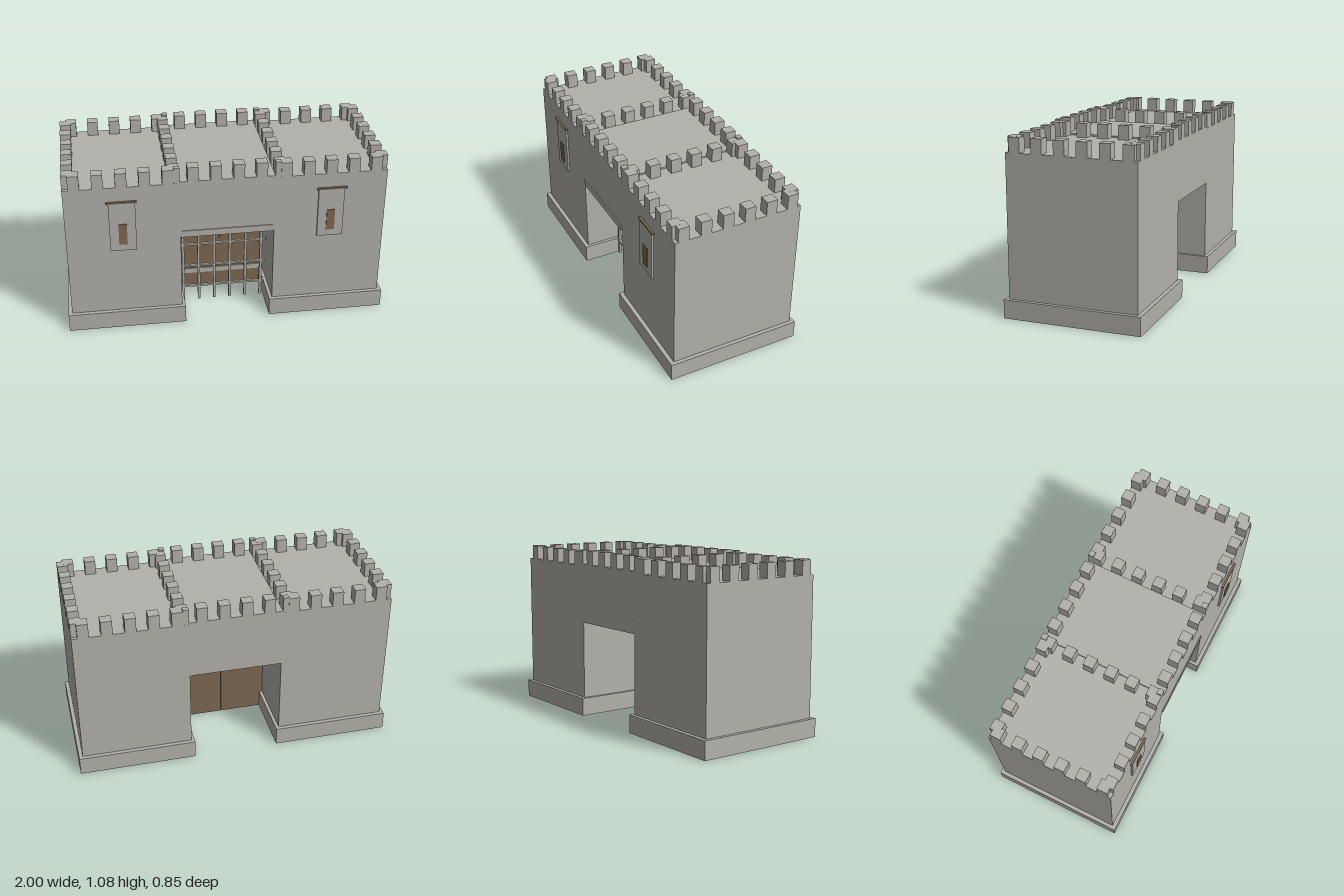
import * as THREE from 'three';

export function createModel() {
  const model = new THREE.Group();
  model.name = 'castleGatehouse';
  const stone = new THREE.MeshStandardMaterial({ color: 0xb3b1ab });
  stone.name = 'stone grey';
  const wood = new THREE.MeshStandardMaterial({ color: 0x7d6850 });
  wood.name = 'wood brown';

  // Box given by its limits on each axis
  function box(name, parent, material, x0, x1, y0, y1, z0, z1) {
    const mesh = new THREE.Mesh(new THREE.BoxGeometry(Math.abs(x1 - x0), y1 - y0, z1 - z0), material);
    mesh.position.set((x0 + x1) / 2, (y0 + y1) / 2, (z0 + z1) / 2);
    mesh.name = name;
    parent.add(mesh);
    return mesh;
  }
  function group(name) {
    const g = new THREE.Group();
    g.name = name;
    model.add(g);
    return g;
  }

  const inner = 0.287, outer = 0.977, depth = 0.4;
  const merlon = 0.067, step = 0.138;

  // Towers, mirrored left and right
  for (const s of [1, -1]) {
    const side = s > 0 ? 'left' : 'right';
    const tower = group(side + 'Tower');
    box('towerBase', tower, stone, s * 0.267, s * 1, 0, 0.115, -0.425, 0.425);
    box('towerWall', tower, stone, s * inner, s * outer, 0.115, 0.98, -depth, depth);

    // Merlons along front and back
    const middle = (inner + outer) / 2;
    for (let i = -2; i <= 2; i++) {
      const x = s * (middle + i * step);
      for (const z of [-depth, depth - merlon])
        box('merlon', tower, stone, x - merlon / 2, x + merlon / 2, 0.98, 1.07, z, z + merlon);
    }
    // Merlons along both sides
    for (let i = 0; i < 6; i++) {
      const z = (i - 2.5) * step;
      for (const x of [inner, outer - merlon])
        box('merlon', tower, stone, s * x, s * (x + merlon), 0.98, 1.0695, z - merlon / 2, z + merlon / 2);
    }

    // Window surround, slit and cap
    const arrowWindow = group(side + 'Window');
    box('windowSurround', arrowWindow, stone, s * 0.555, s * 0.715, 0.555, 0.88, 0.4, 0.412);
    box('windowSlit', arrowWindow, wood, s * 0.61, s * 0.66, 0.6, 0.738, 0.41, 0.418);
    box('windowCap', arrowWindow, wood, s * 0.545, s * 0.73, 0.878, 0.888, 0.4, 0.415);

    // Door leaf
    box(side + 'DoorLeaf', model, wood, s * 0.001, s * 0.286, 0.003, 0.575, 0, 0.03);
  }

  // Wall over the passage with its own battlements
  const bridge = group('gateWall');
  box('upperWall', bridge, stone, -inner, inner, 0.612, 0.99, -depth, depth);
  box('lintel', bridge, stone, -0.28, 0.28, 0.612, 0.655, 0.4, 0.406);
  for (const z of [-depth, depth - merlon]) {
    for (let i = 0; i < 4; i++) {
      const x = (i - 1.5) * step;
      box('merlon', bridge, stone, x - merlon / 2, x + merlon / 2, 0.99, 1.08, z, z + merlon);
    }
  }
  for (const s of [1, -1]) for (const t of [1, -1])
    box('cornerPost', bridge, stone, s * 0.287, s * 0.322, 0.98, 1.08, t * 0.382 - 0.0175, t * 0.382 + 0.0175);

  // Straps across the door
  for (const y of [0.105, 0.43])
    box('doorStrap', model, stone, -0.285, 0.285, y, y + 0.035, 0.03, 0.038);

  // Portcullis
  const portcullis = group('portcullis');
  for (let i = 0; i < 6; i++) {
    const x = -0.255 + i * 0.101;
    box('verticalBar', portcullis, stone, x - 0.008, x + 0.008, 0, 0.57, 0.172, 0.188);
  }
  for (const y of [0.105, 0.26, 0.42, 0.56])
    box('crossBar', portcullis, stone, -0.28, 0.28, y - 0.006, y + 0.006, 0.174, 0.19);

  return model;
}
